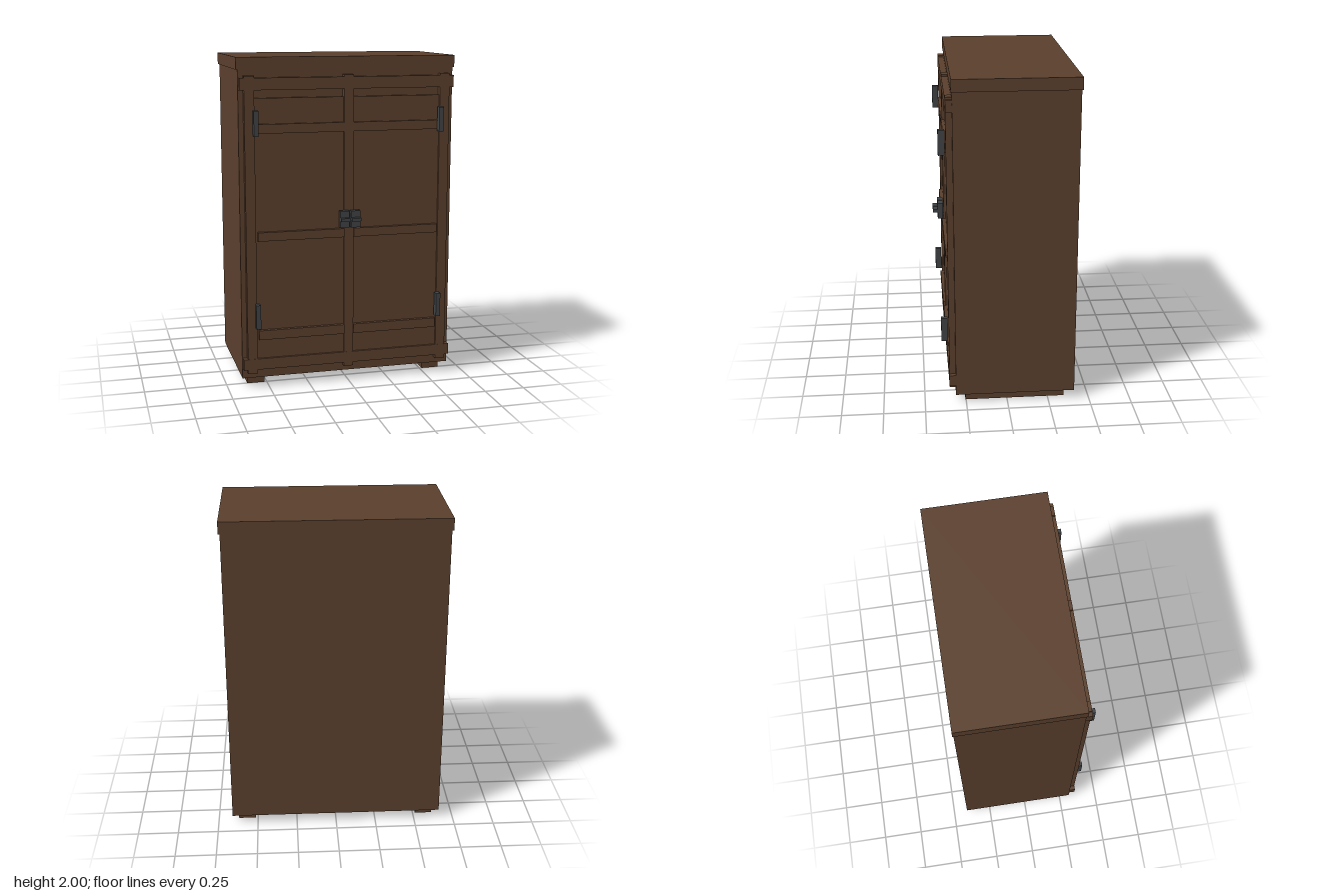
import * as THREE from 'three';

export function createModel() {
  const model = new THREE.Group();
  model.name = 'cabinet';
  const wood = new THREE.MeshStandardMaterial({ color: 0x5b402d });
  wood.name = 'brown wood';
  const iron = new THREE.MeshStandardMaterial({ color: 0x404345 });
  iron.name = 'dark iron';

  // Adds a box given by its extents along each axis
  function block(name, material, [x0, x1], [y0, y1], [z0, z1], parent = model) {
    const mesh = new THREE.Mesh(new THREE.BoxGeometry(Math.abs(x1 - x0), y1 - y0, z1 - z0), material);
    mesh.position.set((x0 + x1) / 2, (y0 + y1) / 2, (z0 + z1) / 2);
    mesh.name = name;
    parent.add(mesh);
  }

  // Carcass and overhanging top board
  block('body', wood, [-0.66, 0.66], [0.055, 1.93], [-0.41, 0.312]);
  block('topBoard', wood, [-0.67, 0.67], [1.928, 2], [-0.416, 0.317]);

  // Front frame
  const frame = new THREE.Group();
  frame.name = 'frontFrame';
  model.add(frame);
  block('centreStile', wood, [-0.03, 0.03], [0.093, 1.893], [0.31, 0.349], frame);
  block('upperRail', wood, [-0.656, 0.656], [1.81, 1.881], [0.31, 0.35], frame);
  block('lowerRail', wood, [-0.656, 0.656], [0.116, 0.184], [0.31, 0.35], frame);

  // Mirrored parts of each half
  for (const [side, s] of [['left', 1], ['right', -1]]) {
    const span = (a, b) => [s * a, s * b];
    block(side + 'Runner', wood, span(0.515, 0.622), [0, 0.056], [-0.352, 0.254]);
    block(side + 'Stile', wood, span(0.57, 0.63), [0.093, 1.893], [0.31, 0.349], frame);

    // Door panel stops short of the upper rail, leaving a recess
    const door = new THREE.Group();
    door.name = side + 'Door';
    model.add(door);
    block('panel', wood, span(0.03, 0.57), [0.184, 1.763], [0.31, 0.336], door);
    block('upperSlat', wood, span(0.03, 0.57), [1.557, 1.612], [0.335, 0.354], door);
    block('middleSlat', wood, span(0.03, 0.56), [0.915, 0.968], [0.335, 0.359], door);
    block('lowerSlat', wood, span(0.03, 0.56), [0.305, 0.363], [0.335, 0.359], door);

    // Handle and hinges
    block('handlePlate', iron, span(0.005, 0.062), [0.978, 1.08], [0.353, 0.386], door);
    block('handleGrip', iron, span(0.005, 0.062), [1.02, 1.04], [0.38, 0.416], door);
    for (const y of [0.383, 1.545]) {
      block('hinge', iron, span(0.554, 0.582), [y, y + 0.148], [0.353, 0.392], door);
    }
  }
  return model;
}
